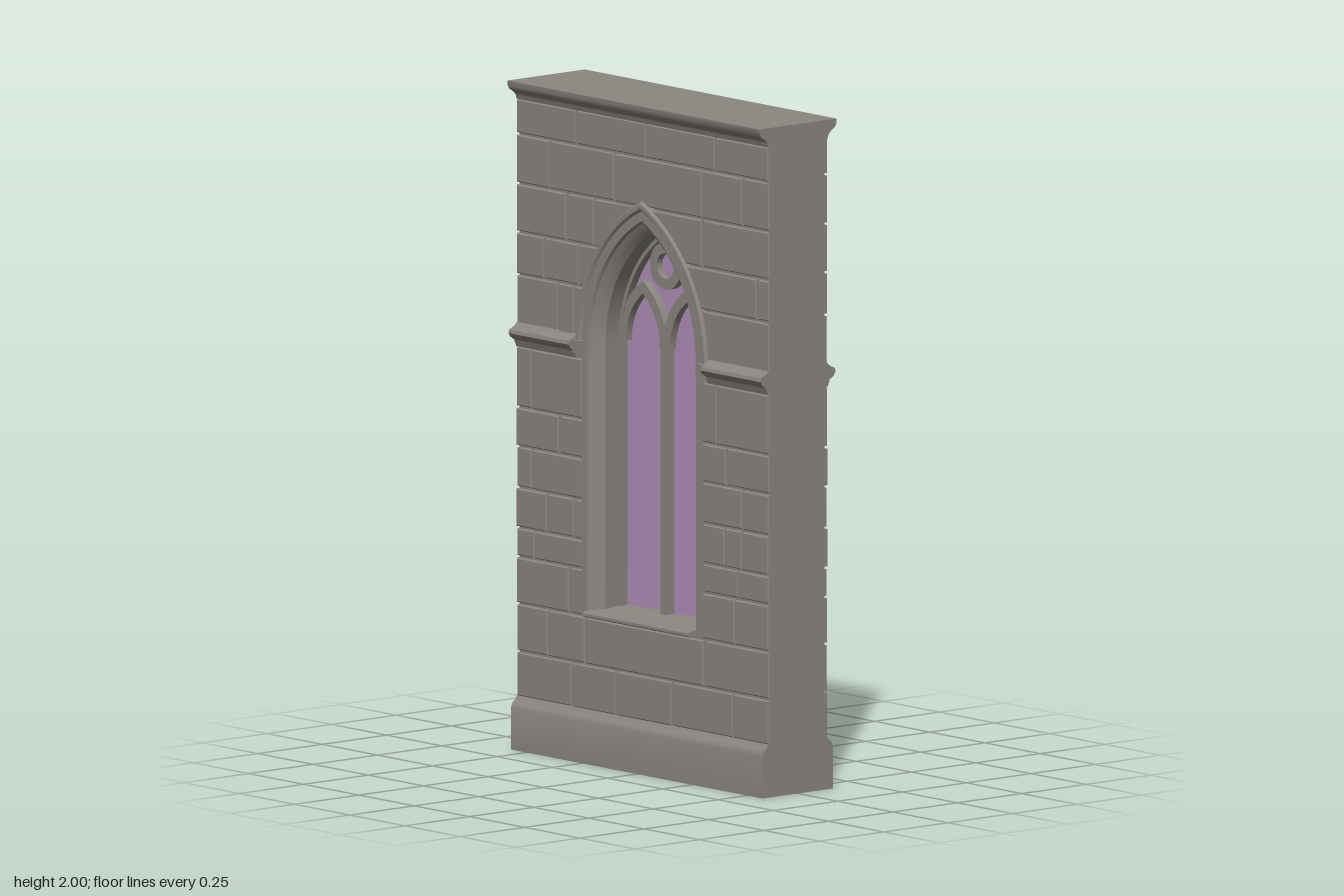
import * as THREE from 'three';
import { toCreasedNormals } from 'three/addons/utils/BufferGeometryUtils.js';

const stone = new THREE.MeshStandardMaterial({ color: 0x8b8680, side: THREE.DoubleSide });
stone.name = 'grey stone';
const glass = new THREE.MeshStandardMaterial({ color: 0xb090ba });
glass.name = 'lavender glass';

const HALF = 0.57, SPRING = 1.25, CENTRE = 0.204, SILL = 0.44;
const V = (x, y) => new THREE.Vector2(x, y);

function mesh(name, geometry, material = stone) {
  const m = new THREE.Mesh(toCreasedNormals(geometry, 0.5), material);
  m.name = name;
  return m;
}

// Outline of a pointed arch of half width w, from right foot over the apex to left foot
function archPoints(w, foot, c = CENTRE, spring = SPRING, n = 14) {
  const r = w + c, end = Math.acos(c / r), right = [];
  if (foot < spring) right.push(V(w, foot));
  for (let i = 0; i <= n; i++) {
    const a = (end * i) / n;
    right.push(V(r * Math.cos(a) - c, spring + r * Math.sin(a)));
  }
  return right.concat(right.slice(0, -1).reverse().map(p => V(-p.x, p.y)));
}

// Sweep a moulding section of [half width, z] pairs around the main arch
function moulding(name, section, foot) {
  const lines = section.map(([w]) => archPoints(w, foot));
  const count = lines[0].length, k = section.length, pos = [], idx = [];
  for (let i = 0; i < count; i++) {
    section.forEach(([, z], j) => pos.push(lines[j][i].x, lines[j][i].y, z));
  }
  for (let i = 0; i < count - 1; i++) for (let j = 0; j < k - 1; j++) {
    const a = i * k + j, b = a + k;
    idx.push(a, b, a + 1, b, b + 1, a + 1);
  }
  const g = new THREE.BufferGeometry();
  g.setAttribute('position', new THREE.Float32BufferAttribute(pos, 3));
  g.setIndex(idx);
  return mesh(name, g);
}

// Plate centred on z = 0
function plate(name, shape, depth, material) {
  const g = new THREE.ExtrudeGeometry(shape, { depth, bevelEnabled: false, curveSegments: 20 });
  return mesh(name, g.translate(0, 0, -depth / 2), material);
}

// Profile of [z, y] pairs run along x
function course(name, profile, x0, x1) {
  const shape = new THREE.Shape(profile.map(([z, y]) => V(-z, y)));
  const g = new THREE.ExtrudeGeometry(shape, { depth: x1 - x0, bevelEnabled: false });
  return mesh(name, g.rotateY(Math.PI / 2).translate(x0, 0, 0));
}
const bothSides = p => p.concat(p.slice().reverse().map(([z, y]) => [-z, y]));

// Half width kept clear of masonry at height y
function clearance(y) {
  if (y < 0.435) return 0;
  if (y < SPRING) return 0.272;
  const r = 0.28 + CENTRE;
  return Math.max(0, Math.sqrt(Math.max(0, r * r - (y - SPRING) ** 2)) - CENTRE);
}

// Courses: bottom, top, joints; a joint at 0 marks the window
const rows = [
  [0.155, 0.292, [-0.32, -0.12, 0.135, 0.41]],
  [0.292, 0.435, [-0.43, -0.26, 0.28]],
  [0.435, 0.575, [-0.33, 0, 0.42]],
  [0.575, 0.662, [-0.49, 0, 0.43]],
  [0.662, 0.782, [-0.43, -0.31, 0, 0.37, 0.45]],
  [0.782, 0.905, [-0.5, 0, 0.45]],
  [0.905, 1.022, [-0.375, 0, 0.38]],
  [1.022, 1.205, [-0.5, 0, 0.335]],
  [1.265, 1.418, [-0.385, -0.31, 0]],
  [1.418, 1.545, [-0.445, -0.29, 0, 0.52]],
  [1.545, 1.69, [-0.345, -0.22, 0, 0.27]],
  [1.69, 1.838, [-0.42, -0.13, 0.27, 0.455]],
  [1.838, 1.945, [-0.3, 0.015, 0.33]],
];

function brick(x0, x1, y0, y1, depth) {
  const gap = 0.004, left = [], right = [], bevel = 0.003;
  const a = x0 <= -HALF ? x0 : x0 + gap, b = x1 >= HALF ? x1 : x1 - gap;
  const steps = y0 > SPRING ? 8 : 1;
  for (let i = 0; i <= steps; i++) {
    const y = y0 + gap + ((y1 - y0 - 2 * gap) * i) / steps;
    const c = clearance(y);
    left.push(V(x0 >= 0 ? Math.max(a, c) : a, y));
    right.push(V(x1 <= 0 ? Math.min(b, -c) : b, y));
  }
  const g = new THREE.ExtrudeGeometry(new THREE.Shape(right.concat(left.reverse())), {
    depth, bevelEnabled: true, bevelSize: bevel, bevelThickness: bevel, bevelOffset: -bevel, bevelSegments: 1,
  });
  return mesh('brick', g.translate(0, 0, 0.1));
}

// Everything that repeats on both faces of the wall
function createFace() {
  const face = new THREE.Group();
  const bricks = new THREE.Group();
  bricks.name = 'bricks';
  let n = 0;
  for (const [y0, y1, joints] of rows) {
    const xs = [-HALF, ...joints, HALF];
    for (let i = 0; i < xs.length - 1; i++) {
      bricks.add(brick(xs[i], xs[i + 1], y0, y1, 0.01 + 0.001 * ((n++ * 7) % 5)));
    }
  }
  face.add(bricks);

  face.add(moulding('windowSurround', [[0.272, 0.1], [0.272, 0.117], [0.245, 0.117], [0.24, 0.108],
    [0.226, 0.1], [0.212, 0.085], [0.208, 0.08], [0.208, 0]], SILL));
  face.add(moulding('hoodMould', [[0.298, 0.1], [0.298, 0.117], [0.291, 0.124], [0.279, 0.124],
    [0.271, 0.116], [0.263, 0.114], [0.263, 0.1]], 1.235));

  // String course with square hood stops
  const string = [[0.09, 1.278], [0.112, 1.276], [0.125, 1.264], [0.143, 1.256], [0.146, 1.245],
    [0.139, 1.234], [0.124, 1.224], [0.116, 1.203], [0.09, 1.2]];
  for (const s of [-1, 1]) {
    face.add(course('stringCourse', string, s < 0 ? -HALF : 0.298, s < 0 ? -0.298 : HALF));
    const stop = mesh('hoodStop', new THREE.BoxGeometry(0.036, 0.038, 0.045));
    stop.position.set(s * 0.28, 1.24, 0.11);
    face.add(stop);
  }

  face.add(course('windowSill', [[0, 0.468], [0.105, 0.457], [0.137, 0.455], [0.141, 0.45],
    [0.141, 0.442], [0.13, 0.437], [0, 0.437]], -0.24, 0.24));
  return face;
}

export function createModel() {
  const model = new THREE.Group();
  model.name = 'gothicWindowWall';

  // Wall core with arched opening
  const wall = new THREE.Shape([V(-HALF, 0), V(HALF, 0), V(HALF, 2), V(-HALF, 2)]);
  wall.holes.push(new THREE.Path(archPoints(0.26, SILL)));
  model.add(plate('wallCore', wall, 0.208));

  // Plinth and cornice
  model.add(course('plinth', bothSides([[0.137, 0], [0.137, 0.125], [0.132, 0.138], [0.121, 0.148],
    [0.115, 0.158]]), -HALF, HALF));
  model.add(course('cornice', bothSides([[0.114, 1.942], [0.119, 1.957], [0.131, 1.968], [0.143, 1.975],
    [0.149, 1.985], [0.15, 2]]), -HALF, HALF));

  const front = createFace();
  front.name = 'frontFace';
  const back = createFace();
  back.name = 'backFace';
  back.rotation.y = Math.PI;
  model.add(front, back);

  // Glazing
  model.add(plate('glazing', new THREE.Shape(archPoints(0.212, SILL)), 0.008, glass));

  // Tracery: outer frame, mullion, two lancets and an oculus
  const band = (outer, inner) => new THREE.Shape(outer.concat(inner.reverse()));
  model.add(plate('traceryFrame', band(archPoints(0.212, SILL), archPoints(0.196, SILL)), 0.06));
  const mullion = mesh('mullion', new THREE.BoxGeometry(0.03, 0.89, 0.064));
  mullion.position.y = 0.445 + 0.445;
  mullion.position.y = SILL + 0.445;
  model.add(mullion);
  for (const s of [-1, 1]) {
    const lancet = plate('lancetArch', band(archPoints(0.108, 1.26, 0.108, 1.26),
      archPoints(0.077, 1.26, 0.108, 1.26)), 0.056);
    lancet.position.x = s * 0.1;
    model.add(lancet);
  }
  const ring = new THREE.Shape().absarc(0, 1.505, 0.07, 0, Math.PI * 2);
  ring.holes.push(new THREE.Path().absarc(0, 1.505, 0.038, 0, Math.PI * 2));
  model.add(plate('oculus', ring, 0.052));
  return model;
}
